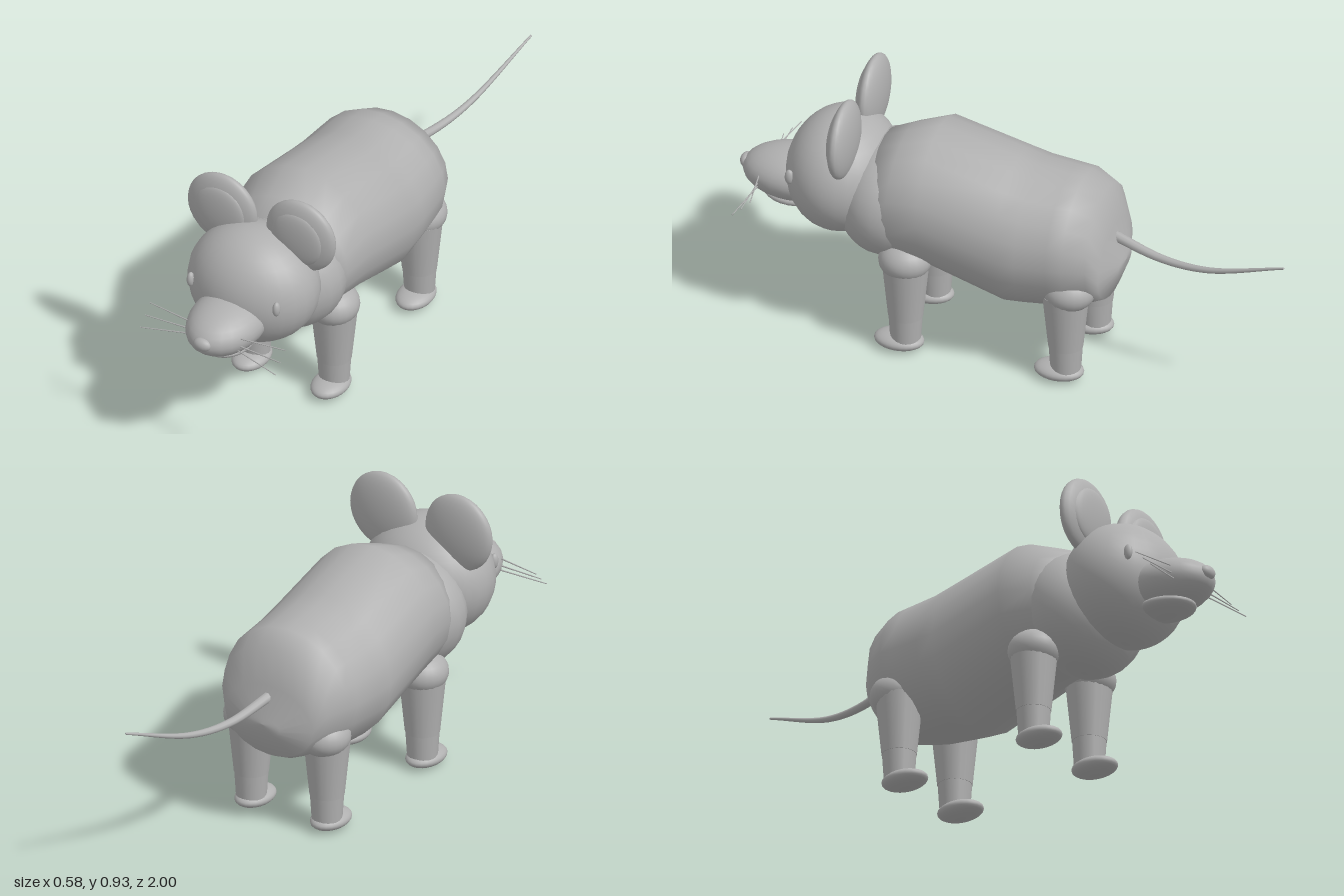
import * as THREE from 'three';

export function createModel() {
  const root = new THREE.Group();
  root.name = 'mouse';
  const grey = new THREE.MeshStandardMaterial({ color: 0xb0b0b0 });
  grey.name = 'plain grey';

  const add = (name, geometry, x = 0, y = 0, z = 0, parent = root) => {
    const mesh = new THREE.Mesh(geometry, grey);
    mesh.name = name;
    mesh.position.set(x, y, z);
    parent.add(mesh);
    return mesh;
  };
  const ellipsoid = (rx, ry, rz, seg = 24) =>
    new THREE.SphereGeometry(1, seg, Math.round(seg * 0.67)).scale(rx, ry, rz);

  // Body: elliptical rings lofted from rump to chest, [z, bottom, top, half width]
  const rings = [
    [-0.385, 0.42, 0.42, 0], [-0.38, 0.38, 0.44, 0.07], [-0.345, 0.29, 0.55, 0.18],
    [-0.31, 0.27, 0.68, 0.215], [-0.235, 0.25, 0.72, 0.248], [-0.18, 0.238, 0.725, 0.254],
    [-0.07, 0.226, 0.735, 0.262], [0, 0.22, 0.752, 0.265], [0.28, 0.31, 0.82, 0.262],
    [0.4, 0.328, 0.772, 0.237], [0.48, 0.36, 0.738, 0.2], [0.52, 0.5, 0.6, 0],
  ];
  const sides = 20, pos = [], index = [];
  rings.forEach(([z, lo, hi, w], i) => {
    for (let j = 0; j < sides; j++) {
      const t = (j / sides) * Math.PI * 2;
      pos.push(Math.cos(t) * w, (lo + hi) / 2 + Math.sin(t) * (hi - lo) / 2, z);
      if (i === rings.length - 1) continue;
      const a = i * sides + j, b = i * sides + (j + 1) % sides;
      index.push(a, b, a + sides, b, b + sides, a + sides);
    }
  });
  const bodyGeo = new THREE.BufferGeometry();
  bodyGeo.setAttribute('position', new THREE.Float32BufferAttribute(pos, 3));
  bodyGeo.setIndex(index);
  bodyGeo.computeVertexNormals();
  add('body', bodyGeo);

  // Neck, head and muzzle
  add('neck', ellipsoid(0.24, 0.215, 0.19), 0, 0.52, 0.45);
  add('head', ellipsoid(0.236, 0.215, 0.195, 28), 0, 0.58, 0.625);
  add('snout', ellipsoid(0.13, 0.09, 0.185), 0, 0.526, 0.8);
  add('lowerJaw', ellipsoid(0.09, 0.03, 0.11), 0, 0.447, 0.8);
  add('nose', ellipsoid(0.034, 0.024, 0.022, 16), 0, 0.535, 0.975);

  // A thin rod between two points
  const rod = (a, b, r) => {
    const d = b.clone().sub(a);
    const g = new THREE.CylinderGeometry(r * 0.6, r, d.length(), 6);
    g.applyQuaternion(new THREE.Quaternion().setFromUnitVectors(
      new THREE.Vector3(0, 1, 0), d.normalize()));
    const m = a.clone().add(b).multiplyScalar(0.5);
    return g.translate(m.x, m.y, m.z);
  };

  for (const s of [1, -1]) {
    const side = s > 0 ? 'left' : 'right';
    // Ears, eyes
    add(side + 'Ear', ellipsoid(0.135, 0.14, 0.042), s * 0.154, 0.794, 0.573);
    add(side + 'InnerEar', ellipsoid(0.1, 0.104, 0.024), s * 0.152, 0.792, 0.597);
    add(side + 'Eye', ellipsoid(0.013, 0.028, 0.016, 16), s * 0.168, 0.61, 0.765);

    // Whiskers: [root y, tip y, tip z]
    [[0.547, 0.543, 0.872], [0.518, 0.511, 0.904], [0.5, 0.48, 0.936]].forEach(([y0, y1, z1]) =>
      add(side + 'Whisker', rod(new THREE.Vector3(s * 0.08, y0, 0.9),
        new THREE.Vector3(s * 0.266, y1, z1), 0.0028)));

    // Legs
    for (const [end, z, footZ] of [['Front', 0.352, 0.375], ['Hind', -0.222, -0.198]]) {
      const leg = new THREE.Group();
      leg.name = side + end + 'Leg';
      leg.position.set(s * 0.155, 0, z);
      add('shoulder', ellipsoid(0.088, 0.072, 0.092), 0, 0.36, end === 'Hind' ? -0.012 : 0.002, leg);
      add('upperLeg', new THREE.CylinderGeometry(0.081, 0.06, 0.21, 20), 0, 0.24, 0, leg);
      add('lowerLeg', new THREE.CylinderGeometry(0.059, 0.052, 0.11, 20), 0, 0.09, 0, leg);
      add('paw', ellipsoid(0.063, 0.031, 0.088), 0, 0.033, footZ - z, leg);
      root.add(leg);
    }
  }

  // Tail: a tube whose sections shrink towards the tip
  const path = new THREE.CatmullRomCurve3([
    [0, 0.51, -0.34], [0.035, 0.475, -0.52], [0.075, 0.49, -0.7], [0.14, 0.6, -0.998],
  ].map((p) => new THREE.Vector3(...p)));
  const steps = 24, radial = 10;
  const tailGeo = new THREE.TubeGeometry(path, steps, 0.019, radial);
  const p = tailGeo.attributes.position, v = new THREE.Vector3();
  for (let i = 0; i < p.count; i++) {
    const t = Math.floor(i / (radial + 1)) / steps;
    const c = path.getPointAt(t);
    v.fromBufferAttribute(p, i).sub(c).multiplyScalar(1 - 0.8 * t).add(c);
    p.setXYZ(i, v.x, v.y, v.z);
  }
  add('tail', tailGeo);
  add('tailTip', ellipsoid(0.004, 0.004, 0.004, 8), 0.14, 0.6, -0.997);

  return root;
}
